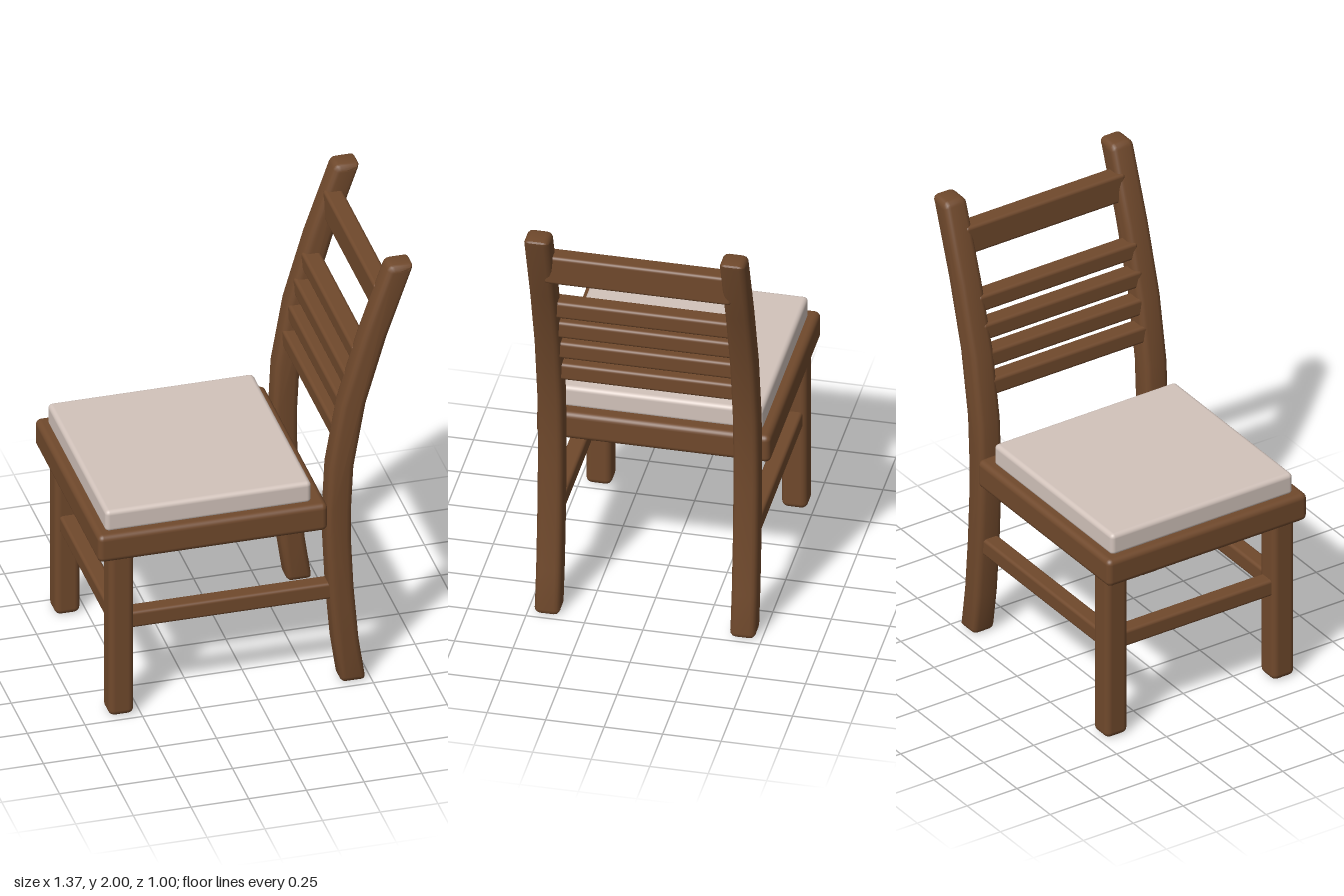
import * as THREE from 'three';
import { toCreasedNormals } from 'three/addons/utils/BufferGeometryUtils.js';
import { RoundedBoxGeometry } from 'three/addons/geometries/RoundedBoxGeometry.js';

const wood = new THREE.MeshStandardMaterial({ color: 0x70492c });
wood.name = 'brown wood';
const fabric = new THREE.MeshStandardMaterial({ color: 0xd2c3bb });
fabric.name = 'pale fabric';

// Rounded box given by its extents along each axis
function block(name, material, [x0, x1], [y0, y1], [z0, z1], radius) {
  const geometry = new RoundedBoxGeometry(x1 - x0, y1 - y0, z1 - z0, 3, radius);
  const mesh = new THREE.Mesh(geometry, material);
  mesh.position.set((x0 + x1) / 2, (y0 + y1) / 2, (z0 + z1) / 2);
  mesh.name = name;
  return mesh;
}

// Centre line of the bowed back posts
const bow = [
  [0.424, 0], [0.395, 0.2], [0.374, 0.45], [0.362, 0.7], [0.363, 0.85],
  [0.373, 1.05], [0.425, 1.35], [0.515, 1.66], [0.634, 2],
];

// Side outline of a post with eased corners, extruded with rounded edges
function postGeometry() {
  const half = 0.054, ease = 0.022, bevel = 0.025, width = 0.11;
  const inner = bow.slice(1, -1);
  const [bx, by] = bow[0];
  const [tx, ty] = bow[bow.length - 1];
  const shape = new THREE.Shape();
  shape.moveTo(bx - half + ease, by);
  shape.lineTo(bx + half - ease, by);
  shape.quadraticCurveTo(bx + half, by, bx + half - 0.003, by + ease);
  inner.forEach(([x, y]) => shape.lineTo(x + half, y));
  shape.lineTo(tx + half - 0.008, ty - ease);
  shape.quadraticCurveTo(tx + half, ty, tx + half - ease, ty);
  shape.lineTo(tx - half + ease, ty);
  shape.quadraticCurveTo(tx - half, ty, tx - half - 0.008, ty - ease);
  [...inner].reverse().forEach(([x, y]) => shape.lineTo(x - half, y));
  shape.lineTo(bx - half - 0.003, by + ease);
  shape.quadraticCurveTo(bx - half, by, bx - half + ease, by);
  const geometry = new THREE.ExtrudeGeometry(shape, {
    depth: width - 2 * bevel, curveSegments: 3,
    bevelSize: bevel, bevelThickness: bevel, bevelOffset: -bevel, bevelSegments: 3,
  });
  geometry.translate(0, 0, bevel - width / 2);
  return toCreasedNormals(geometry, 0.7);
}

export function createModel() {
  const chair = new THREE.Group();
  chair.name = 'chair';

  // Seat and cushion
  chair.add(block('seat', wood, [-0.69, 0.305], [0.775, 0.905], [-0.5, 0.5], 0.025));
  chair.add(block('cushion', fabric, [-0.647, 0.245], [0.895, 0.997], [-0.455, 0.455], 0.02));

  // Legs, back posts and side stretchers, mirrored
  const post = postGeometry();
  for (const side of [-1, 1]) {
    const z = side * 0.418;
    const label = side > 0 ? 'left' : 'right';
    chair.add(block(label + 'FrontLeg', wood, [-0.636, -0.527], [0, 0.8], [z - 0.055, z + 0.055], 0.027));
    chair.add(block(label + 'SideStretcher', wood, [-0.56, 0.36], [0.41, 0.488], [z - 0.037, z + 0.037], 0.014));
    const mesh = new THREE.Mesh(post, wood);
    mesh.position.z = z;
    mesh.name = label + 'BackPost';
    chair.add(mesh);
  }
  chair.add(block('frontStretcher', wood, [-0.618, -0.544], [0.41, 0.488], [-0.4, 0.4], 0.014));

  // Back slats and top rail
  [[0.39, 1.193], [0.414, 1.315], [0.441, 1.435], [0.475, 1.555]].forEach(([x, y], i) => {
    chair.add(block('backSlat' + (i + 1), wood, [x - 0.04, x + 0.04], [y - 0.04, y + 0.04], [-0.4, 0.4], 0.015));
  });
  chair.add(block('topRail', wood, [0.53, 0.61], [1.747, 1.883], [-0.4, 0.4], 0.015));

  return chair;
}
